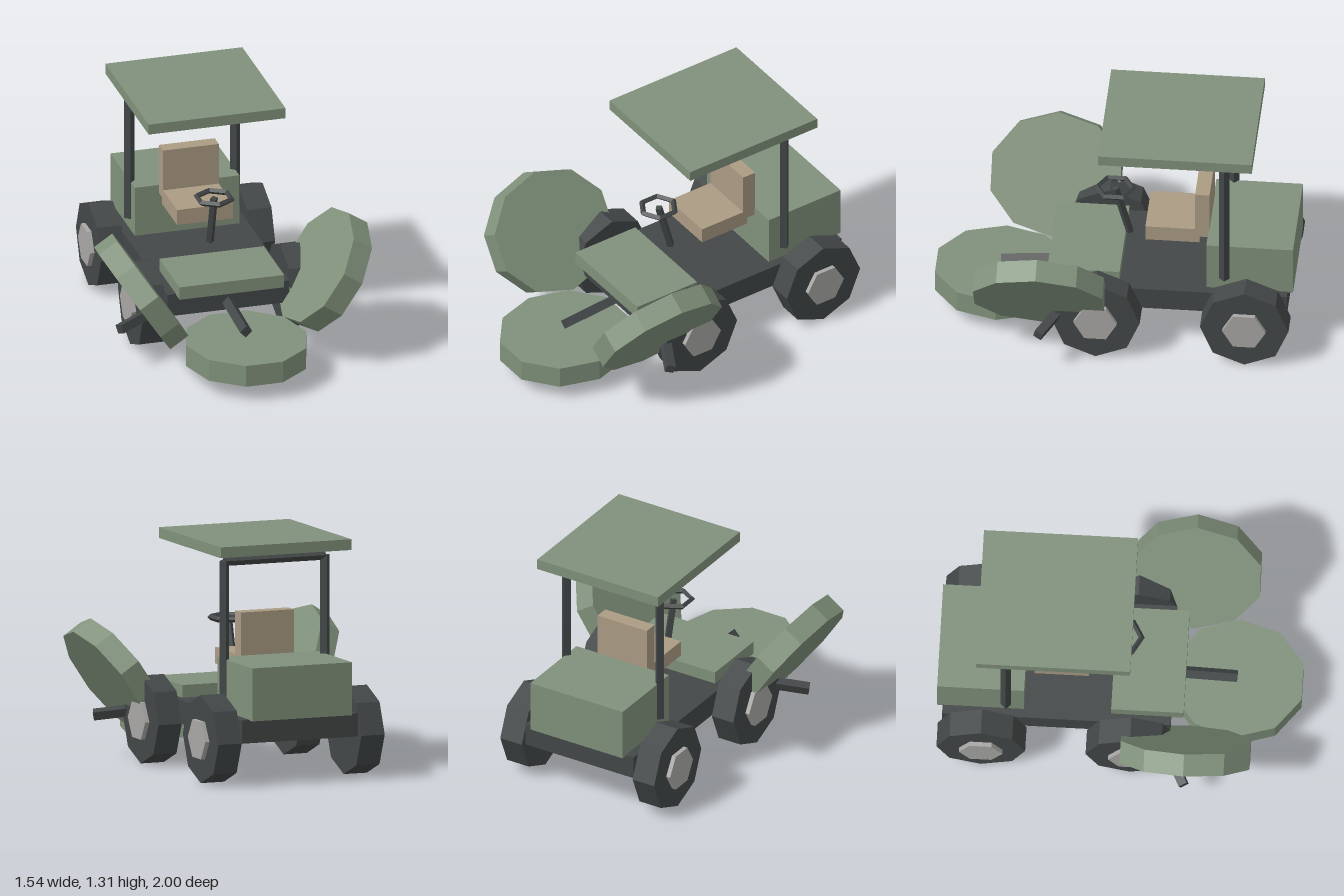
import * as THREE from 'three';

const paint = (color) => new THREE.MeshStandardMaterial({ color, flatShading: true });

export function createModel() {
  const model = new THREE.Group();
  const green = paint(0x80917b);
  const dark = paint(0x434747);
  const tan = paint(0xab9b84);
  const hubGrey = paint(0xa8a7a5);

  const add = (name, geometry, material) => {
    const mesh = new THREE.Mesh(geometry, material);
    mesh.name = name;
    model.add(mesh);
    return mesh;
  };
  // Box given by its limits on each axis
  const box = (name, material, [x0, x1], [y0, y1], [z0, z1]) =>
    add(name, new THREE.BoxGeometry(x1 - x0, y1 - y0, z1 - z0), material)
      .position.set((x0 + x1) / 2, (y0 + y1) / 2, (z0 + z1) / 2);
  // Four-sided bar between two points
  const bar = (name, from, to, radius) => {
    const a = new THREE.Vector3(...from), b = new THREE.Vector3(...to);
    const dir = b.clone().sub(a);
    const mesh = add(name, new THREE.CylinderGeometry(radius, radius, dir.length(), 4), dark);
    mesh.position.copy(a).add(b).multiplyScalar(0.5);
    mesh.quaternion.setFromUnitVectors(new THREE.Vector3(0, 1, 0), dir.normalize());
  };

  // Frame and bodywork
  box('chassis', dark, [-0.35, 0.35], [0.24, 0.37], [-0.97, 0.29]);
  box('engineCover', green, [-0.3, 0.3], [0.365, 0.66], [-1, -0.52]);
  box('frontPanel', green, [-0.3, 0.3], [0.365, 0.44], [-0.04, 0.36]);

  // Seat
  box('seatCushion', tan, [-0.16, 0.16], [0.57, 0.66], [-0.47, -0.17]);
  box('seatBack', tan, [-0.16, 0.16], [0.61, 0.9], [-0.525, -0.445]);

  // Roll bar and canopy
  for (const s of [-1, 1]) bar('canopyPost', [s * 0.303, 0.44, -0.62], [s * 0.303, 1.21, -0.62], 0.029);
  bar('canopyCrossbar', [-0.3, 1.21, -0.62], [0.3, 1.21, -0.62], 0.03);
  box('canopy', green, [-0.393, 0.393], [1.25, 1.31], [-0.78, 0.07]);

  // Steering
  bar('steeringColumn', [0, 0.495, -0.07], [0, 0.79, 0.01], 0.022);
  const rim = new THREE.TorusGeometry(0.1, 0.017, 4, 6).rotateZ(Math.PI / 6).rotateX(Math.PI / 2);
  add('steeringWheel', rim, dark).position.set(0, 0.793, 0.012);

  // Wheels with hubs
  const tyre = new THREE.CylinderGeometry(0.245, 0.245, 0.14, 8).rotateZ(Math.PI / 2);
  const hub = new THREE.CylinderGeometry(0.12, 0.12, 0.12, 6).rotateZ(Math.PI / 2);
  for (const s of [-1, 1]) {
    for (const z of [0.075, -0.748]) {
      add('tyre', tyre, dark).position.set(s * 0.43, 0.245, z);
      add('wheelHub', hub, hubGrey).position.set(s * 0.465, 0.245, z);
    }
  }

  // Cutting decks: one flat in front, one folded up on each side
  const deck = new THREE.CylinderGeometry(0.345, 0.345, 0.125, 10, 1, false, Math.PI / 2).scale(1, 1, 1.09);
  add('frontDeck', deck, green).position.set(0, 0.155, 0.642);
  bar('frontDeckArm', [0, 0.285, 0.25], [0, 0.255, 0.64], 0.035);
  for (const s of [-1, 1]) {
    const side = add('sideDeck', deck, green);
    side.position.set(s * 0.527, 0.455, 0.383);
    side.rotation.z = s * 0.985;
    bar('sideDeckArm', [s * 0.3, 0.29, 0.2], [s * 0.65, 0.24, 0.38], 0.035);
  }
  return model;
}
